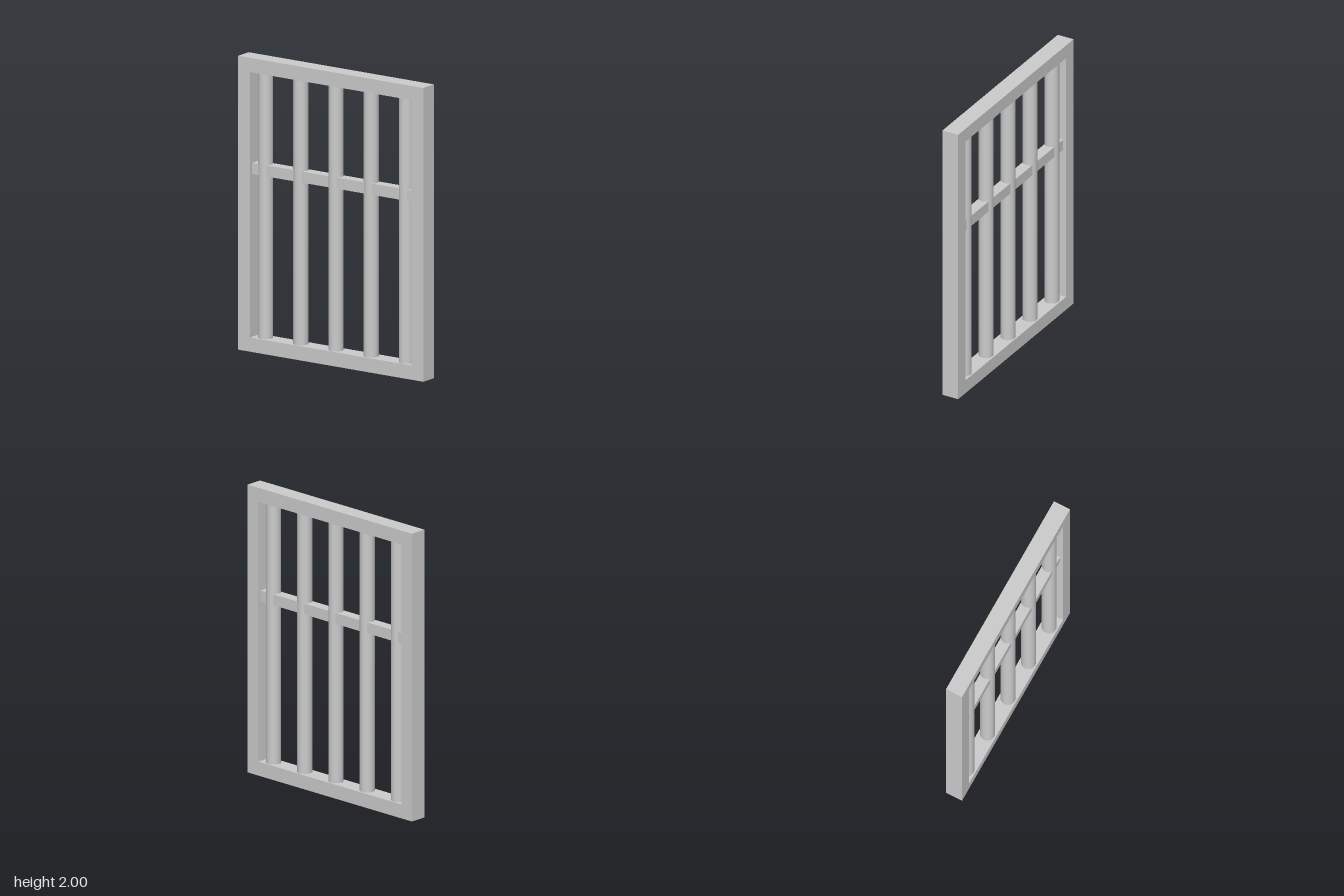
import * as THREE from 'three';

export function createModel() {
  const model = new THREE.Group();
  model.name = 'barredWindow';
  const material = new THREE.MeshStandardMaterial({ color: 0xcccccc });

  const width = 1.5, height = 2, depth = 0.12, border = 0.097;
  const innerW = width - 2 * border, innerH = height - 2 * border;

  const add = (name, geometry, x, y) => {
    const mesh = new THREE.Mesh(geometry, material);
    mesh.name = name;
    mesh.position.set(x, y, 0);
    model.add(mesh);
  };

  // Rectangular frame: one slab with a rectangular opening
  const rectangle = (path, w, h) => path
    .moveTo(-w / 2, -h / 2).lineTo(w / 2, -h / 2)
    .lineTo(w / 2, h / 2).lineTo(-w / 2, h / 2).closePath();
  const outline = rectangle(new THREE.Shape(), width, height);
  outline.holes.push(rectangle(new THREE.Path(), innerW, innerH));
  const frame = new THREE.ExtrudeGeometry(outline, { depth, bevelEnabled: false });
  frame.translate(0, 0, -depth / 2);
  add('frame', frame, 0, height / 2);

  // Five round upright bars, open-ended where they meet the frame
  const bar = new THREE.CylinderGeometry(0.05, 0.05, innerH, 32, 1, true);
  for (let i = -2; i <= 2; i++) add(`uprightBar${i + 3}`, bar, i * 0.285, height / 2);

  // Square crossbar threaded through the uprights
  add('crossbar', new THREE.BoxGeometry(innerW, 0.076, 0.076), 0, 1.243);

  return model;
}
